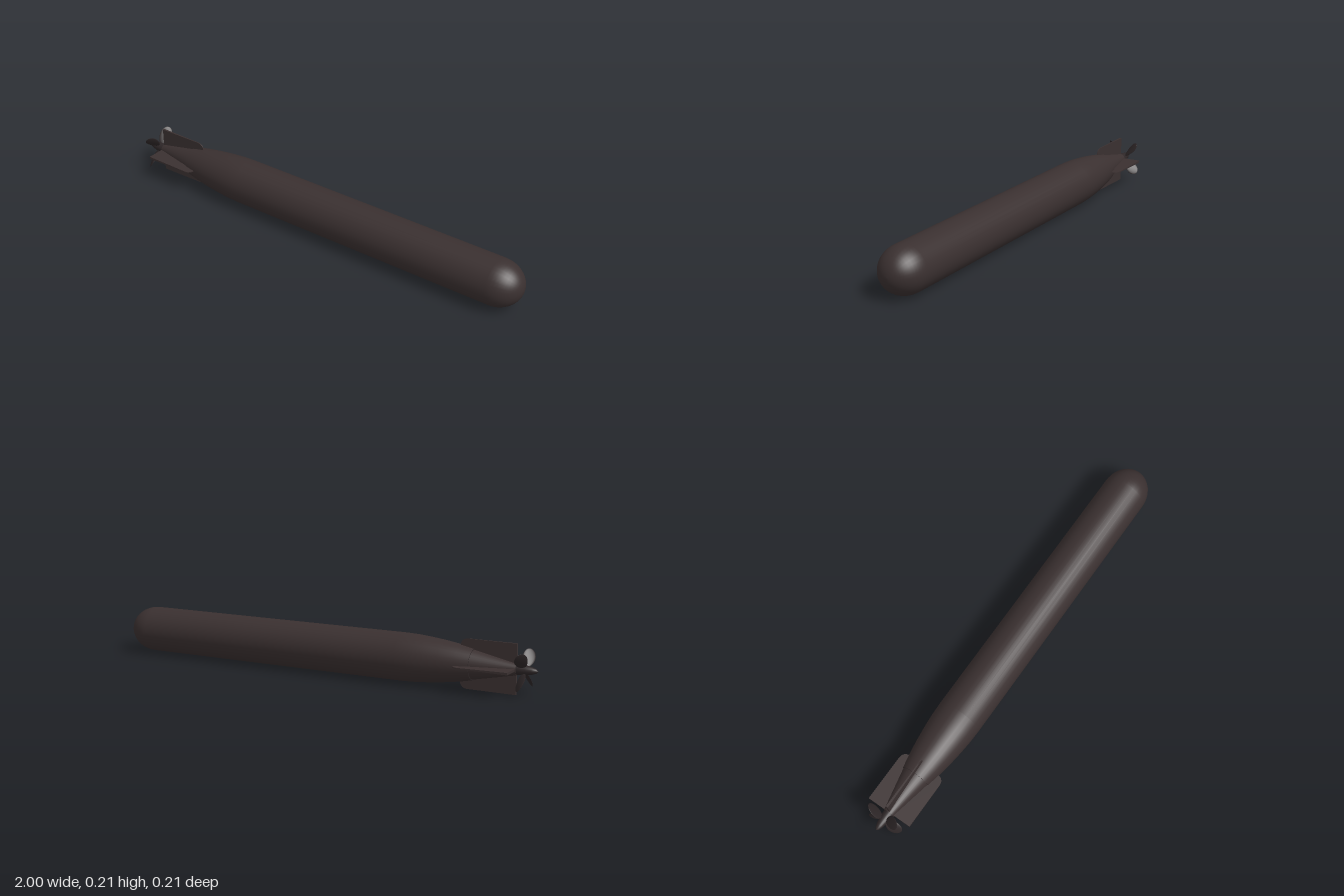
import * as THREE from 'three';

const hull = new THREE.MeshStandardMaterial({ color: 0x3a3030 });
hull.name = 'dark hull';
const metal = new THREE.MeshStandardMaterial({ color: 0x2d2627 });
metal.name = 'propeller metal';

// Surface of revolution along the x axis; points are [radius, x], rear to front
function turned(name, points, material, sides = 32) {
  const profile = points.map(([r, x]) => new THREE.Vector2(r, x));
  const geometry = new THREE.LatheGeometry(profile, sides);
  geometry.rotateZ(-Math.PI / 2);
  const mesh = new THREE.Mesh(geometry, material);
  mesh.name = name;
  return mesh;
}

// Tail fin: rounded front corner, thinning towards the leading edge
function finGeometry() {
  const rear = -0.91, front = -0.665, tip = 0.105, root = 0.015;
  const shape = new THREE.Shape();
  shape.moveTo(rear, root);
  shape.lineTo(front, root);
  shape.lineTo(front, tip - 0.03);
  shape.quadraticCurveTo(front - 0.003, tip, front - 0.035, tip);
  shape.lineTo(rear, tip);
  shape.closePath();
  const geometry = new THREE.ExtrudeGeometry(shape, { depth: 0.01, bevelEnabled: false, curveSegments: 8 });
  geometry.translate(0, 0, -0.005);
  const p = geometry.attributes.position;
  for (let i = 0; i < p.count; i++) {
    const t = (p.getX(i) - rear) / (front - rear);
    p.setZ(i, p.getZ(i) * (1 - 0.65 * t));
  }
  geometry.computeVertexNormals();
  return geometry;
}

// Propeller blade: flattened paddle, broader outboard and twisted along its length
function bladeGeometry() {
  const geometry = new THREE.SphereGeometry(1, 16, 14);
  const p = geometry.attributes.position;
  for (let i = 0; i < p.count; i++) {
    const y = p.getY(i);
    const chord = p.getX(i) * 0.027 * (1 + 0.15 * y);
    const thick = p.getZ(i) * 0.004;
    const pitch = 0.65 + 0.15 * y;
    const c = Math.cos(pitch), s = Math.sin(pitch);
    p.setXYZ(i, chord * c + thick * s, 0.06 + 0.044 * y, thick * c - chord * s);
  }
  geometry.computeVertexNormals();
  return geometry;
}

export function createModel() {
  const model = new THREE.Group();
  model.name = 'torpedo';
  const axis = new THREE.Group();
  axis.name = 'body assembly';
  axis.position.y = 0.1065;
  model.add(axis);

  // Main hull: tapered stern, straight middle, rounded nose
  const profile = [[0.065, -0.725], [0.077, -0.665], [0.087, -0.6], [0.095, -0.53], [0.1, -0.47], [0.102, -0.41]];
  for (let i = 0; i <= 12; i++) {
    const a = (i / 12) * Math.PI / 2;
    profile.push([0.102 * Math.cos(a), 0.88 + 0.12 * Math.sin(a)]);
  }
  axis.add(turned('hull', profile, hull));

  // Tail section behind a small stepped seam
  axis.add(turned('hullSeam', [[0.05, -0.726], [0.065, -0.725]], metal));
  axis.add(turned('tailCone', [[0.024, -0.912], [0.062, -0.725]], hull));
  axis.add(turned('tailEnd', [[0, -0.912], [0.024, -0.912]], hull));

  // Four fins, upright and level
  const fin = finGeometry();
  for (let i = 0; i < 4; i++) {
    const mesh = new THREE.Mesh(fin, hull);
    mesh.name = 'fin' + (i + 1);
    mesh.rotation.x = i * Math.PI / 2;
    axis.add(mesh);
  }

  // Propeller set on the diagonals
  const propeller = new THREE.Group();
  propeller.name = 'propeller';
  propeller.add(turned('spinner', [
    [0, -1], [0.009, -0.992], [0.015, -0.975], [0.02, -0.95], [0.022, -0.925], [0.022, -0.905],
  ], metal, 20));
  const blade = bladeGeometry();
  for (let i = 0; i < 4; i++) {
    const mesh = new THREE.Mesh(blade, metal);
    mesh.name = 'blade' + (i + 1);
    mesh.position.x = -0.943;
    mesh.rotation.x = Math.PI / 4 + i * Math.PI / 2;
    propeller.add(mesh);
  }
  axis.add(propeller);
  return model;
}
